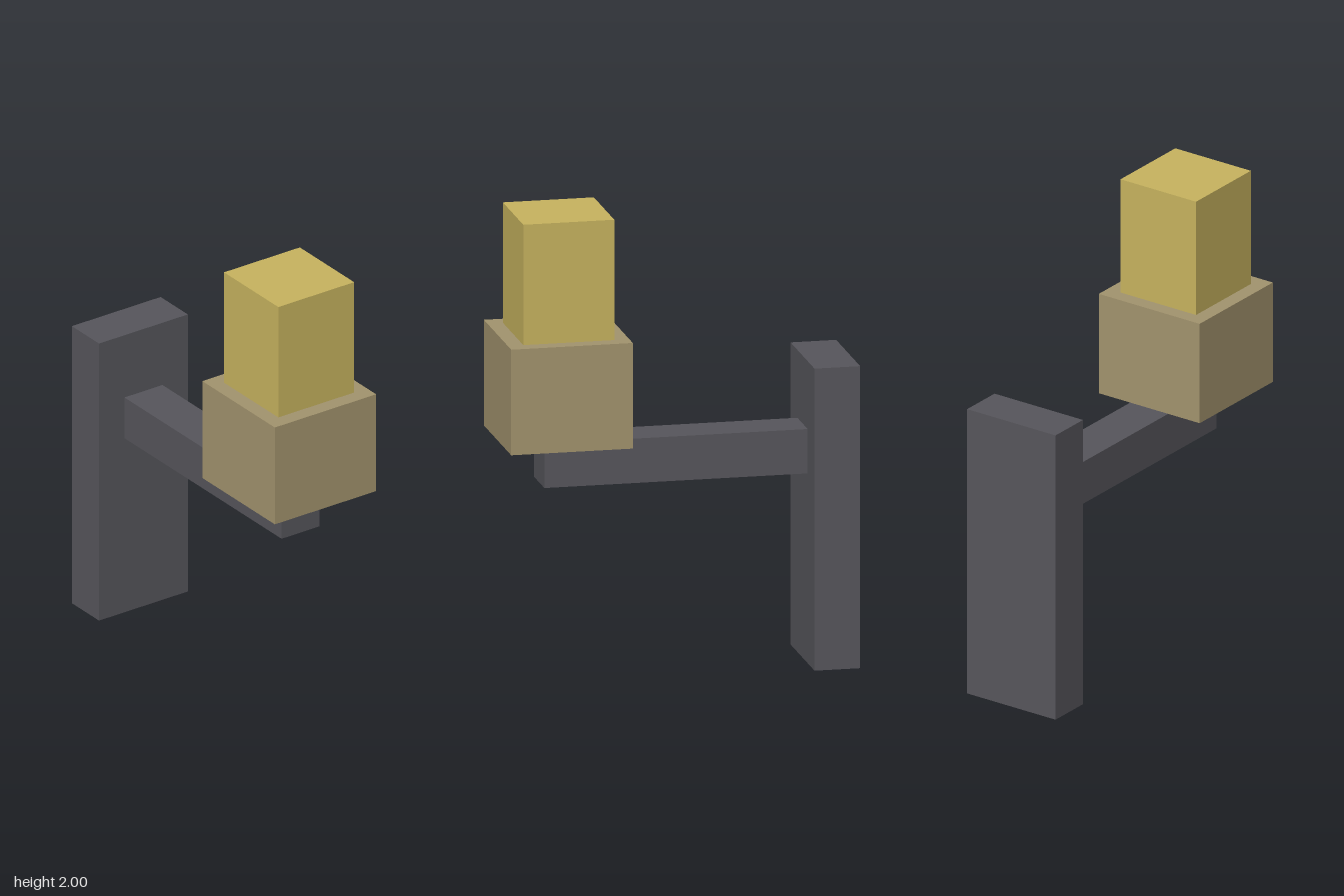
import * as THREE from 'three';

function material(name, color) {
  const m = new THREE.MeshStandardMaterial({ color });
  m.name = name;
  return m;
}

export function createModel() {
  const group = new THREE.Group();
  group.name = 'wallLamp';

  const iron = material('dark iron', 0x57565c);
  const tan = material('tan holder', 0xa3946e);
  const gold = material('gold flame', 0xc8b45f);

  // Box centred on x, given its width and its y and z limits
  function block(name, mat, width, [y0, y1], [z0, z1]) {
    const mesh = new THREE.Mesh(new THREE.BoxGeometry(width, y1 - y0, z1 - z0), mat);
    mesh.position.set(0, (y0 + y1) / 2, (z0 + z1) / 2);
    mesh.name = name;
    group.add(mesh);
  }

  // Wall plate and the arm reaching forward from it
  block('wallPlate', iron, 0.46, [0, 1.313], [-0.757, -0.56]);
  block('arm', iron, 0.197, [0.825, 1.018], [-0.56, 0.577]);

  // Holder on the end of the arm, with the light block on top
  block('holder', tan, 0.525, [1.018, 1.477], [0.232, 0.757]);
  block('light', gold, 0.393, [1.477, 2], [0.297, 0.69]);

  return group;
}
